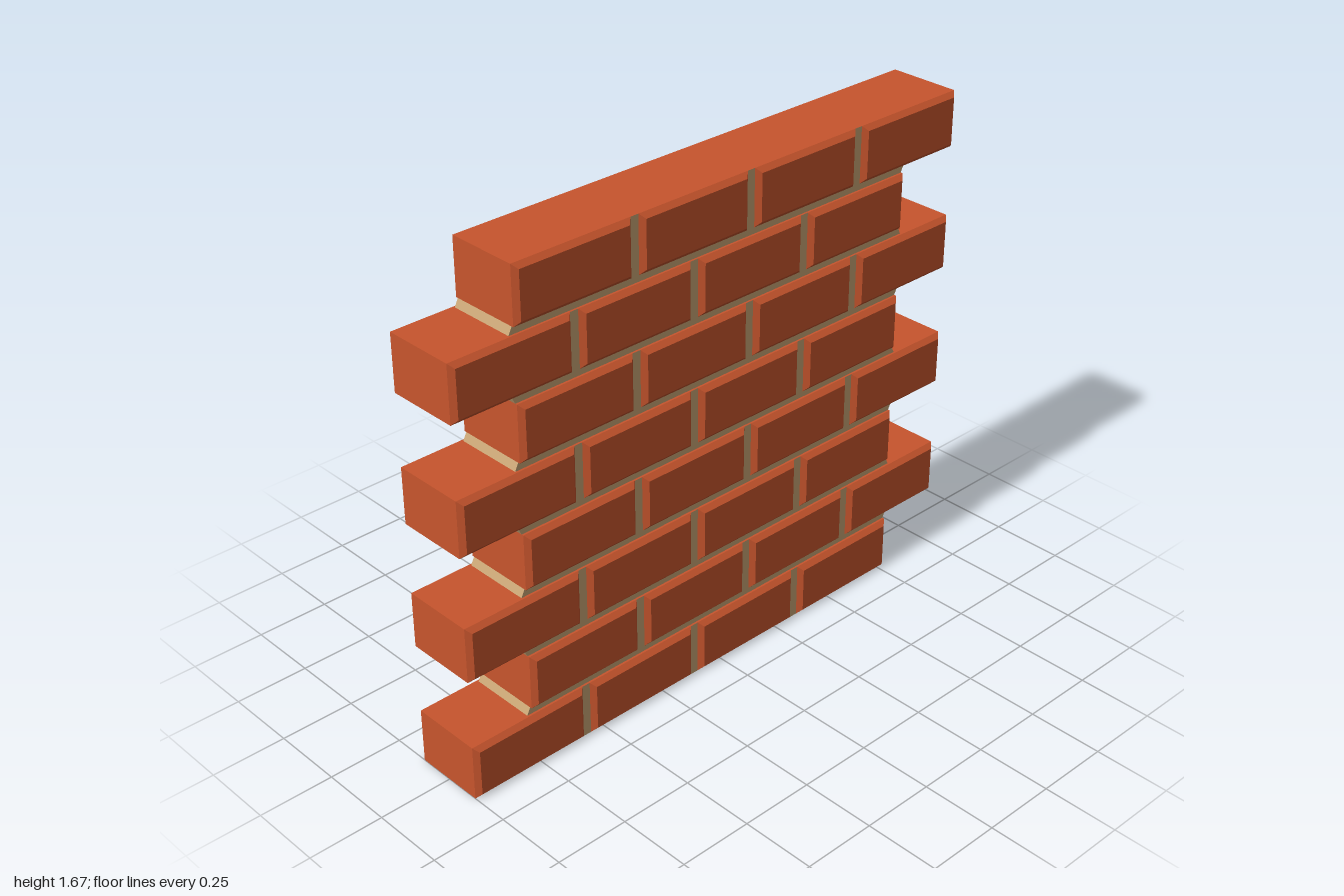
import * as THREE from 'three';

const ROWS = 8, BRICKS = 4;
const PITCH_Y = 0.2117, BRICK_H = 0.187;
const PITCH_Z = 0.451, BRICK_L = 0.422;
const CORE = 0.122, FACE = 0.137, BEVEL = 0.016;
const SHORT = 0.775; // z of the recessed row end
const BED = 0.115;   // half width of the horizontal mortar

const brickMat = new THREE.MeshStandardMaterial({ color: 0xc8552d, flatShading: true });
const mortarMat = new THREE.MeshStandardMaterial({ color: 0xc8a474, flatShading: true });

// Raised brick face: a slab whose outer side is inset to form the bevel
function brickFaceGeometry(side) {
  const depth = FACE - CORE;
  const geo = new THREE.BoxGeometry(depth, BRICK_H, BRICK_L);
  const p = geo.attributes.position;
  for (let i = 0; i < p.count; i++) {
    if (p.getX(i) * side > 0) {
      p.setY(i, p.getY(i) - Math.sign(p.getY(i)) * BEVEL);
      p.setZ(i, p.getZ(i) - Math.sign(p.getZ(i)) * BEVEL);
    }
  }
  geo.translate(side * (CORE + depth / 2), 0, 0);
  geo.computeVertexNormals();
  return geo;
}

// Horizontal mortar: a bar with slanted ends that widen onto the overhanging row
function bedGeometry(dir) {
  const h = PITCH_Y - BRICK_H, flare = 0.012;
  const shape = new THREE.Shape([
    [-SHORT, 0], [SHORT + flare, 0], [SHORT, h], [-SHORT - flare, h],
  ].map(([z, y]) => new THREE.Vector2(z * dir, y)));
  const geo = new THREE.ExtrudeGeometry(shape, { depth: BED * 2, bevelEnabled: false });
  return geo.translate(0, 0, -BED).rotateY(-Math.PI / 2);
}

export function createModel() {
  const wall = new THREE.Group();
  wall.name = 'brickWall';

  const faces = [-1, 1].map(brickFaceGeometry);
  const rowLength = 1 + SHORT;
  const coreGeo = new THREE.BoxGeometry(CORE * 2, BRICK_H, rowLength);
  // Mortar shows on the core's long sides, brick on its top, bottom and ends
  const coreMats = [mortarMat, mortarMat, brickMat, brickMat, brickMat, brickMat];

  for (let r = 0; r < ROWS; r++) {
    const dir = r % 2 === 0 ? 1 : -1; // which end of the row overhangs
    const row = new THREE.Group();
    row.name = 'brickRow' + (r + 1);
    row.position.y = r * PITCH_Y;

    const core = new THREE.Mesh(coreGeo, coreMats);
    core.name = 'rowCore';
    core.position.set(0, BRICK_H / 2, dir * (1 - rowLength / 2));
    row.add(core);

    for (let b = 0; b < BRICKS; b++) {
      for (const geo of faces) {
        const brick = new THREE.Mesh(geo, brickMat);
        brick.name = 'brickFace';
        brick.position.set(0, BRICK_H / 2, dir * (1 - BRICK_L / 2 - b * PITCH_Z));
        row.add(brick);
      }
    }

    if (r < ROWS - 1) {
      const bed = new THREE.Mesh(bedGeometry(dir), mortarMat);
      bed.name = 'mortarBed';
      bed.position.y = BRICK_H;
      row.add(bed);
    }
    wall.add(row);
  }
  return wall;
}
